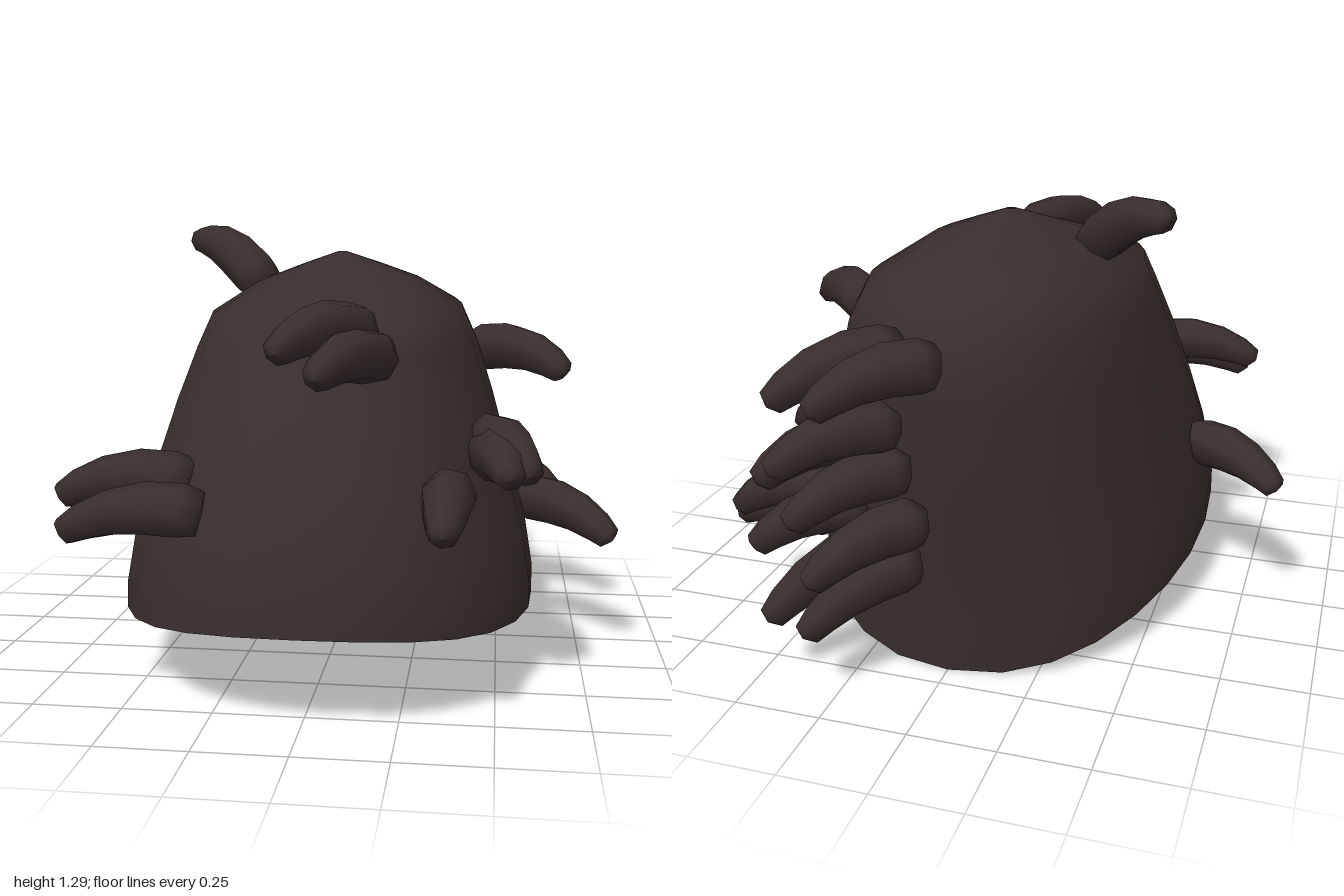
import * as THREE from 'three';

const darkBrown = new THREE.MeshStandardMaterial({ color: 0x382e2d, side: THREE.DoubleSide });
darkBrown.name = 'darkBrown';

// Skin a list of closed rings, each an array of Vector3
function loft(rings) {
  const n = rings[0].length;
  const index = [];
  for (let i = 0; i < rings.length - 1; i++) {
    for (let j = 0; j < n; j++) {
      const k = (j + 1) % n;
      const a = i * n + j, b = i * n + k, c = b + n, d = a + n;
      index.push(a, b, c, a, c, d);
    }
  }
  const geometry = new THREE.BufferGeometry().setFromPoints(rings.flat());
  geometry.setIndex(index);
  geometry.computeVertexNormals();
  return geometry;
}

// Slightly squared circle
const squared = (v) => Math.sign(v) * Math.abs(v) ** 0.89;

// Hollow cap, open below: tilted ovals from rim to crown
function capGeometry() {
  // half width, front z, back z, then y at front, side and back
  const levels = [
    [0.605, 0.92, -0.68, 0.27, 0.185, 0.0],
    [0.605, 0.915, -0.69, 0.32, 0.27, 0.13],
    [0.58, 0.90, -0.70, 0.43, 0.42, 0.30],
    [0.535, 0.84, -0.725, 0.60, 0.58, 0.53],
    [0.475, 0.73, -0.745, 0.80, 0.79, 0.82],
    [0.425, 0.63, -0.735, 0.95, 0.94, 0.98],
    [0.38, 0.585, -0.635, 1.01, 1.04, 1.115],
    [0.25, 0.40, -0.44, 1.07, 1.125, 1.15],
    [0.12, 0.15, -0.24, 1.14, 1.175, 1.185],
    [0.014, -0.045, -0.073, 1.212, 1.212, 1.212],
  ];
  const sides = 28;
  return loft(levels.map(([w, zf, zb, yf, ys, yb]) =>
    Array.from({ length: sides }, (_, j) => {
      const a = (j / sides) * Math.PI * 2;
      const s = squared(Math.sin(a)), c = squared(Math.cos(a));
      const tilt = (0.36 * c + 0.64 * c ** 3) * (yf - yb) / 2;
      const y = ys + tilt + c * c * ((yf + yb) / 2 - ys);
      return new THREE.Vector3(w * s, y, (zf + zb) / 2 + c * (zf - zb) / 2);
    })));
}

// Arched, tapering tuft with blunt ends
function tuftGeometry(base, tip, lift) {
  const start = new THREE.Vector3(...base), end = new THREE.Vector3(...tip);
  const mid = start.clone().lerp(end, 0.58);
  mid.y += lift;
  const curve = new THREE.QuadraticBezierCurve3(start, mid, end);
  const profile = [[0, 0.001], [0.01, 0.062], [0.12, 0.074], [0.35, 0.072],
    [0.6, 0.062], [0.82, 0.05], [0.96, 0.038], [1, 0.001]];
  const up = new THREE.Vector3(0, 1, 0);
  return loft(profile.map(([t, r]) => {
    const p = curve.getPoint(t), dir = curve.getTangent(t);
    const side = up.clone().cross(dir).normalize();
    const top = dir.clone().cross(side);
    return Array.from({ length: 7 }, (_, j) => {
      const a = (j / 7) * Math.PI * 2;
      return p.clone().addScaledVector(side, r * Math.cos(a))
        .addScaledVector(top, r * Math.sin(a));
    });
  }));
}

// Base, tip and arch height of each tuft
const tufts = {
  crownTuft: [[[-0.24, 1.10, -0.04], [-0.51, 1.24, -0.25], 0.09]],
  rightTuft: [[[-0.55, 0.46, 0.12], [-0.84, 0.42, -0.11], 0.08]],
  leftTuft: [
    [[0.56, 0.44, -0.09], [0.84, 0.355, 0.15], 0.08],
    [[0.42, 0.90, -0.16], [0.69, 0.85, 0.10], 0.09],
  ],
  frontRightTuft: [
    [[-0.31, 0.61, 0.67], [-0.68, 0.56, 0.68], 0.08],
    [[-0.26, 0.55, 0.79], [-0.64, 0.49, 0.80], 0.08],
  ],
  frontTopTuft: [
    [[0.13, 1.01, 0.60], [-0.04, 0.98, 0.95], 0.07],
    [[0.18, 0.94, 0.62], [0.06, 0.92, 0.96], 0.07],
  ],
  frontLeftTuft: [
    [[0.37, 0.585, 0.62], [0.37, 0.555, 0.99], 0.06],
    [[0.46, 0.69, 0.34], [0.58, 0.65, 0.70], 0.07],
    [[0.46, 0.65, 0.39], [0.53, 0.65, 0.74], 0.06],
  ],
  backLeftTuft: [
    [[0.40, 0.36, -0.54], [0.75, 0.28, -0.45], 0.09],
    [[0.36, 0.48, -0.56], [0.70, 0.36, -0.56], 0.09],
  ],
  backTuft: [
    [[-0.01, 0.94, -0.76], [0.24, 0.86, -0.99], 0.09],
    [[0.11, 0.95, -0.70], [0.38, 0.85, -0.93], 0.09],
    [[0.13, 0.74, -0.70], [0.38, 0.67, -0.95], 0.09],
    [[0.22, 0.69, -0.66], [0.47, 0.59, -0.85], 0.09],
    [[0.10, 0.62, -0.71], [0.34, 0.52, -0.94], 0.09],
    [[0.06, 0.47, -0.71], [0.28, 0.37, -0.97], 0.09],
    [[0.20, 0.36, -0.65], [0.45, 0.19, -0.88], 0.09],
    [[0.09, 0.33, -0.68], [0.32, 0.19, -0.93], 0.09],
    [[0.24, 0.47, -0.64], [0.54, 0.35, -0.77], 0.09],
  ],
};

export function createModel() {
  const model = new THREE.Group();
  model.name = 'tuftedCap';

  const cap = new THREE.Mesh(capGeometry(), darkBrown);
  cap.name = 'cap';
  model.add(cap);

  for (const [name, list] of Object.entries(tufts)) {
    for (const [base, tip, lift] of list) {
      const tuft = new THREE.Mesh(tuftGeometry(base, tip, lift), darkBrown);
      tuft.name = name;
      model.add(tuft);
    }
  }
  return model;
}
